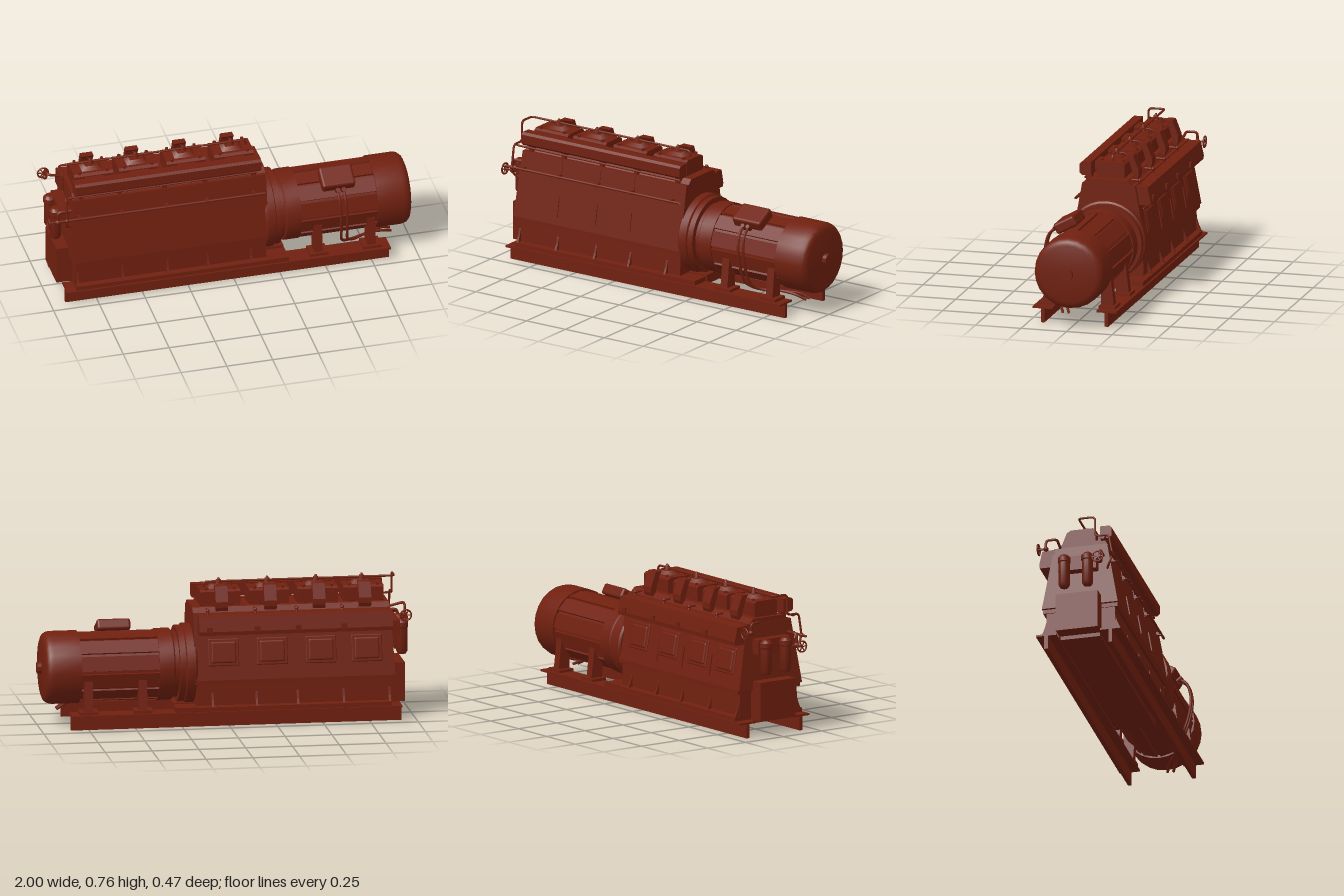
import * as THREE from 'three';
import { toCreasedNormals } from 'three/addons/utils/BufferGeometryUtils.js';
import { RoundedBoxGeometry } from 'three/addons/geometries/RoundedBoxGeometry.js';

export function createModel() {
  const root = new THREE.Group();
  const paint = new THREE.MeshStandardMaterial({ color: 0x70200f, side: THREE.DoubleSide });
  const V = (x, y, z) => new THREE.Vector3(x, y, z);

  const add = (name, geo, x = 0, y = 0, z = 0, parent = root) => {
    const m = new THREE.Mesh(geo, paint);
    m.name = name;
    m.position.set(x, y, z);
    parent.add(m);
    return m;
  };
  // box given by its limits
  const box = (name, x0, x1, y0, y1, z0, z1) =>
    add(name, new THREE.BoxGeometry(x1 - x0, y1 - y0, z1 - z0), (x0 + x1) / 2, (y0 + y1) / 2, (z0 + z1) / 2);
  // [z, y] outline extruded along x
  const prism = (name, pts, x0, x1) => {
    const s = new THREE.Shape(pts.map(([z, y]) => new THREE.Vector2(-z, y)));
    const g = new THREE.ExtrudeGeometry(s, { depth: x1 - x0, bevelEnabled: false });
    return add(name, g.rotateY(Math.PI / 2).translate(x0, 0, 0));
  };
  const mirrored = half => [...half, ...half.map(([z, y]) => [-z, y]).reverse()];
  // [radius, x] profile turned round the shaft axis
  const turned = (name, pts, y, z = 0, sides = 32) => {
    const g = new THREE.LatheGeometry(pts.map(([r, x]) => new THREE.Vector2(r, x)), sides);
    return add(name, toCreasedNormals(g.rotateZ(-Math.PI / 2), 0.6), 0, y, z);
  };
  // pipe with tightly rounded corners
  const pipe = (name, pts, r, bend = 0.02) => {
    const p = pts.map(a => V(...a)), path = new THREE.CurvePath();
    let last = p[0];
    for (let i = 1; i < p.length - 1; i++) {
      const before = p[i].clone().add(p[i - 1].clone().sub(p[i]).setLength(bend));
      const after = p[i].clone().add(p[i + 1].clone().sub(p[i]).setLength(bend));
      path.add(new THREE.LineCurve3(last, before));
      path.add(new THREE.QuadraticBezierCurve3(before, p[i], after));
      last = after;
    }
    path.add(new THREE.LineCurve3(last, p[p.length - 1]));
    return add(name, new THREE.TubeGeometry(path, p.length * 14, r, 8));
  };
  const cable = (name, pts, r) =>
    add(name, new THREE.TubeGeometry(new THREE.CatmullRomCurve3(pts.map(a => V(...a))), 40, r, 8));

  const cylinders = [-0.735, -0.49, -0.23, 0.03];
  const seams = [-0.61, -0.365, -0.145];

  // base rails
  for (const s of [-1, 1]) {
    box('railWeb', -0.92, 0.845, 0, 0.075, s * 0.175 - 0.01, s * 0.175 + 0.01);
    box('railFlange', -0.92, 0.845, 0.075, 0.085, s * 0.175 - 0.055, s * 0.175 + 0.055);
  }
  box('oilSump', -0.87, 0.29, 0.064, 0.115, -0.108, 0.108);

  // lower crankcase with foot flange, ledge and gussets
  prism('lowerCrankcase', mirrored([[0.22, 0.085], [0.22, 0.108], [0.19, 0.112], [0.185, 0.25]]), -0.865, 0.175);
  box('crankcaseLedge', -0.87, 0.185, 0.228, 0.25, -0.203, 0.203);
  for (const s of [-1, 1]) for (const x of [-0.855, ...seams, 0.09])
    prism('footGusset', [[s * 0.18, 0.1], [s * 0.218, 0.1], [s * 0.2, 0.14], [s * 0.185, 0.19]], x - 0.006, x + 0.006);
  for (const s of [-1, 1]) box('mountingFoot', 0.17, 0.29, 0.085, 0.11, s * 0.17 - 0.05, s * 0.17 + 0.05);

  // upper crankcase, its free end leaning slightly inward
  const upper = prism('upperCrankcase', mirrored([[0.207, 0.25], [0.145, 0.6]]), -0.885, 0.185);
  const pos = upper.geometry.attributes.position;
  for (let i = 0; i < pos.count; i++)
    if (pos.getX(i) < 0 && pos.getY(i) > 0.5) pos.setX(i, -0.868);
  upper.geometry.computeVertexNormals();
  prism('cylinderDeck', mirrored([[0.145, 0.598], [0.125, 0.6], [0.1, 0.625]]), -0.865, 0.185);

  // sloping side details: ribs, seams and inspection doors
  const tilt = Math.atan(0.062 / 0.35);
  for (const s of [-1, 1]) {
    const side = new THREE.Group();
    side.name = s > 0 ? 'frontPanels' : 'rearDoors';
    side.position.set(0, 0.425, s * 0.176);
    side.rotation.x = -s * tilt;
    root.add(side);
    for (const x of seams) {
      add('panelRib', new THREE.BoxGeometry(0.01, 0.11, 0.012), x, -0.08, 0, side);
      add('panelSeam', new THREE.BoxGeometry(0.008, 0.1, 0.008), x, 0.12, 0, side);
    }
    if (s < 0) for (const x of cylinders) {
      add('doorFrame', new RoundedBoxGeometry(0.165, 0.145, 0.012, 2, 0.006), x, -0.03, 0, side);
      add('door', new RoundedBoxGeometry(0.135, 0.115, 0.024, 2, 0.01), x, -0.03, 0, side);
    }
  }

  // rear camshaft casing with clips and rail
  prism('rearCasing', [[-0.14, 0.595], [-0.208, 0.592], [-0.225, 0.515], [-0.222, 0.495], [-0.16, 0.495]], -0.87, 0.165);
  for (const x of [...seams, 0.11]) {
    box('casingClip', x - 0.015, x + 0.015, 0.512, 0.54, -0.231, -0.21);
    pipe('clipPipe', [[x, 0.615, -0.1], [x, 0.615, -0.15], [x, 0.575, -0.16]], 0.006);
    add('pipeJoint', new THREE.SphereGeometry(0.01, 12, 8), x, 0.615, -0.15);
  }

  // cylinder heads
  const block = [[0.05, 0.62], [0.075, 0.628], [0.075, 0.7], [0.06, 0.71]];
  for (const x of cylinders) {
    prism('cylinderHead', mirrored(block), x - 0.107, x + 0.107);
    const cap = add('injectorBase', new THREE.CylinderGeometry(0.052, 0.085, 0.024, 4).rotateY(Math.PI / 4), x, 0.718, 0);
    cap.scale.z = 0.75;
    add('injector', new THREE.CylinderGeometry(0.013, 0.02, 0.028, 8), x, 0.737, 0);
    add('injectorTip', new THREE.CylinderGeometry(0.005, 0.012, 0.016, 8), x, 0.753, 0);
    for (const dx of [-0.075, 0.075]) for (const z of [-0.057, 0.057])
      add('headBolt', new THREE.CylinderGeometry(0.009, 0.009, 0.02, 6), x + dx, 0.71, z);
    // angled rear duct and branch to the front manifold
    prism('rearDuct', [[-0.06, 0.735], [-0.1, 0.735], [-0.131, 0.655], [-0.131, 0.625], [-0.122, 0.605],
      [-0.1, 0.605], [-0.1, 0.63], [-0.075, 0.715]], x - 0.033, x + 0.033);
    pipe('injectorPipe', [[x, 0.738, 0], [x, 0.738, -0.04], [x, 0.722, -0.065]], 0.004, 0.012);
    box('manifoldBranch', x - 0.05, x + 0.05, 0.648, 0.695, 0.07, 0.11);
  }
  const m0 = 0.105, m1 = 0.167;
  prism('frontManifold', [[m0, 0.635], [m1 - 0.012, 0.635], [m1, 0.647], [m1, 0.695], [m1 - 0.012, 0.707], [m0, 0.707]], -0.86, 0.155);
  for (const x of [...seams, -0.82, 0.12]) box('manifoldStay', x - 0.012, x + 0.012, 0.6, 0.637, 0.105, 0.14);

  // fuel and control pipes
  pipe('topFuelPipe', [[0.11, 0.71, 0], [0.11, 0.741, 0], [-0.91, 0.741, 0], [-0.91, 0.741, 0.09],
    [-0.91, 0.63, 0.09], [-0.91, 0.63, 0.165], [-0.91, 0.51, 0.185], [-0.91, 0.46, 0.165], [-0.88, 0.45, 0.15]], 0.006);
  pipe('deckPipe', [[-0.91, 0.63, 0.15], [-0.91, 0.62, 0.14], [0.14, 0.62, 0.14]], 0.006, 0.005);
  pipe('controlRod', [[-0.95, 0.51, 0.185], [0.17, 0.51, 0.185]], 0.007);
  add('rodJoint', new THREE.SphereGeometry(0.012, 12, 8), -0.91, 0.51, 0.185);
  for (const x of [-0.84, ...seams, 0.11]) box('rodBracket', x - 0.008, x + 0.008, 0.5, 0.52, 0.15, 0.188);

  // handwheels
  const wheel = (x, y, z, turn) => {
    const g = new THREE.Group();
    g.name = 'handwheel';
    g.position.set(x, y, z);
    g.rotation.y = turn;
    root.add(g);
    add('wheelRim', new THREE.TorusGeometry(0.029, 0.0045, 8, 24), 0, 0, 0, g);
    for (let i = 0; i < 3; i++)
      add('wheelSpoke', new THREE.BoxGeometry(0.056, 0.005, 0.004), 0, 0, 0, g).rotation.z = i * Math.PI / 3;
    add('wheelStem', new THREE.CylinderGeometry(0.006, 0.006, 0.05, 8).rotateX(Math.PI / 2), 0, 0, 0.023, g);
  };
  wheel(-0.995, 0.47, 0.125, Math.PI / 2);
  add('valveBody', new THREE.SphereGeometry(0.016, 12, 8), -0.945, 0.47, 0.125);
  pipe('valvePipe', [[-0.945, 0.47, 0.125], [-0.945, 0.53, 0.125], [-0.87, 0.53, 0.125]], 0.009);
  wheel(-0.94, 0.57, -0.21, 0);
  add('valveBody', new THREE.SphereGeometry(0.014, 12, 8), -0.94, 0.57, -0.17);
  pipe('valvePipe', [[-0.94, 0.57, -0.17], [-0.94, 0.62, -0.17], [-0.94, 0.62, -0.11], [-0.86, 0.6, -0.11]], 0.007);

  // end cover and two filters
  box('endCover', -0.95, -0.86, 0.085, 0.295, -0.115, 0.115);
  box('filterBracket', -0.925, -0.865, 0.44, 0.52, -0.11, 0.1);
  for (const z of [-0.07, 0.057]) {
    const prof = [[0, 0.33], [0.022, 0.335], [0.03, 0.35], [0.03, 0.475], [0.034, 0.48], [0.034, 0.505], [0.02, 0.52], [0, 0.522]];
    const g = new THREE.LatheGeometry(prof.map(p => new THREE.Vector2(...p)), 20);
    add('filter', toCreasedNormals(g, 0.6), -0.94, 0, z);
  }

  // flywheel housing and coupling
  turned('flywheelHousing', [[0, 0.17], [0.205, 0.17], [0.214, 0.18], [0.214, 0.225], [0.204, 0.23], [0.204, 0.262], [0.175, 0.262],
    [0.175, 0.3]], 0.305);

  // generator: end bell, ribbed stator and rounded end cap
  turned('generatorBell', [[0, 0.285], [0.182, 0.285], [0.19, 0.292], [0.19, 0.37], [0.17, 0.37]], 0.305);
  turned('stator', [[0.176, 0.36], [0.176, 0.8]], 0.305, 0, 32);
  for (let i = 0; i < 12; i++) {
    const a = (i + 0.5) * Math.PI / 6;
    const panel = add('statorPanel', new THREE.BoxGeometry(0.42, 0.016, 0.078), 0.58, 0.305 + Math.cos(a) * 0.174, Math.sin(a) * 0.174);
    panel.rotation.x = a;
  }
  turned('generatorCap', [[0.17, 0.785], [0.193, 0.785], [0.193, 0.93], [0.188, 0.953], [0.175, 0.968], [0.155, 0.975],
    [0.03, 0.977], [0.03, 1], [0, 1]], 0.305, 0, 24);

  // generator pedestals
  for (const x of [0.46, 0.75]) for (const s of [-1, 1]) {
    box('pedestalPlate', x - 0.05, x + 0.05, 0.085, 0.1, s * 0.165 - 0.045, s * 0.165 + 0.045);
    prism('pedestalPost', [[s * 0.125, 0.1], [s * 0.195, 0.1], [s * 0.175, 0.27], [s * 0.12, 0.27]], x - 0.022, x + 0.022);
  }

  // terminal box and its cables
  const terminal = add('terminalBox', new RoundedBoxGeometry(0.18, 0.06, 0.125, 3, 0.014), 0.58, 0.49, 0.103);
  terminal.rotation.x = 0.5;
  for (const dx of [-0.016, 0.016]) {
    const x = 0.585 + dx;
    add('cableGland', new THREE.CylinderGeometry(0.012, 0.012, 0.035, 10), x, 0.452, 0.168).rotation.x = 0.9;
    cable('cable', [[x, 0.455, 0.165], [x, 0.425, 0.205], [x + 0.005, 0.345, 0.228], [x + 0.01, 0.24, 0.215], [x + 0.02, 0.15, 0.18],
      [x + 0.06, 0.115, 0.14], [0.76, 0.11, 0.09], [0.84, 0.1, 0.06 + dx], [0.89, 0.075, 0.035 + dx]], 0.0075);
  }
  return root;
}
